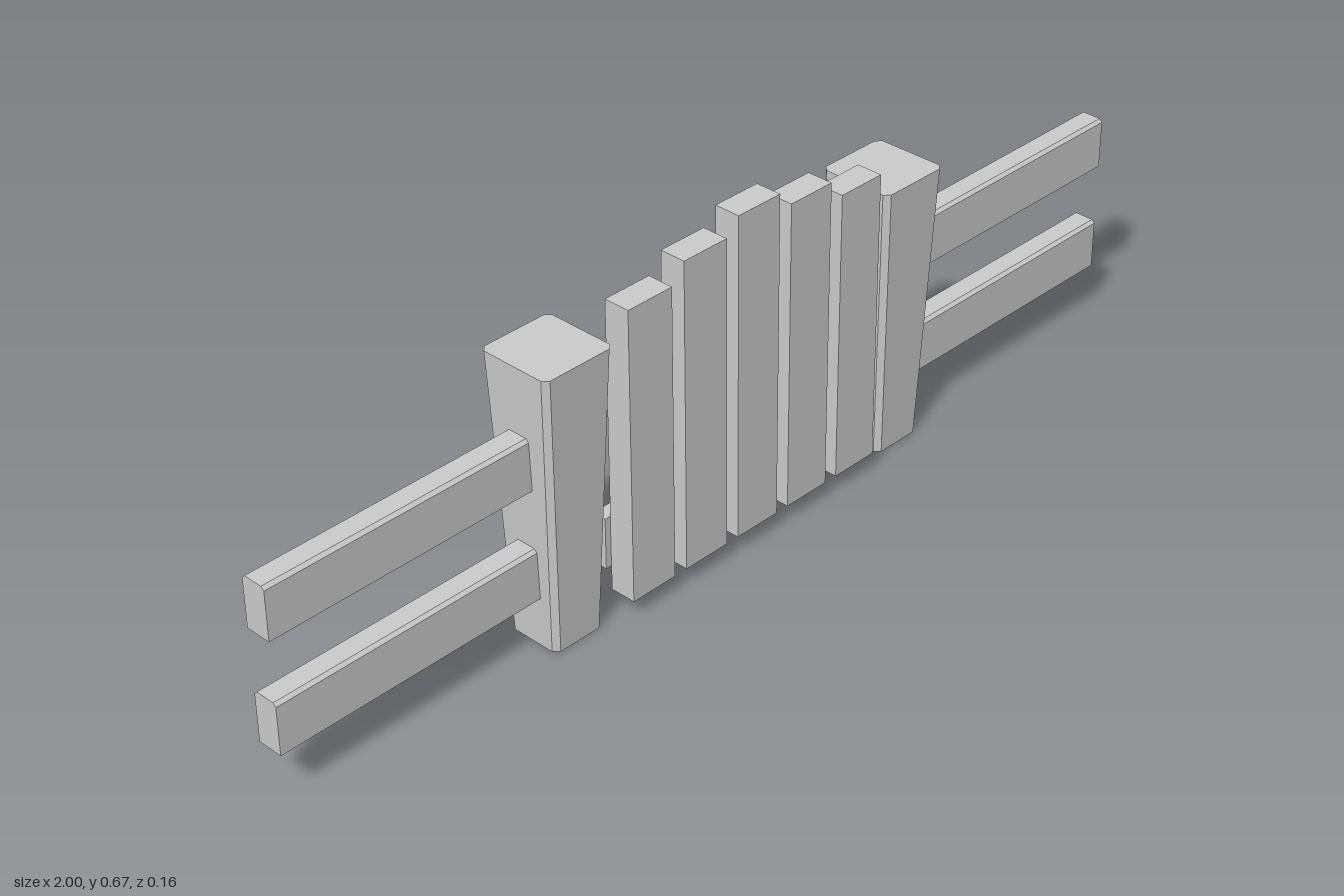
import * as THREE from 'three';

const mat = new THREE.MeshStandardMaterial({ color: 0xcccccc, flatShading: true });
const openMat = new THREE.MeshStandardMaterial({ color: 0xcccccc, flatShading: true, side: THREE.DoubleSide });

function add(group, name, geo, x, y, z, material = mat) {
  const mesh = new THREE.Mesh(geo, material);
  mesh.name = name;
  mesh.position.set(x, y, z);
  group.add(mesh);
  return mesh;
}

// Box given by its limits
function slab(group, name, [x0, x1], [y0, y1], [z0, z1]) {
  add(group, name, new THREE.BoxGeometry(x1 - x0, y1 - y0, z1 - z0),
    (x0 + x1) / 2, (y0 + y1) / 2, (z0 + z1) / 2);
}

// Square of half width h with corners cut by c, counter-clockwise
function cutSquare(h, c) {
  const k = h - c;
  return [[h, -k], [h, k], [k, h], [-k, h], [-h, k], [-h, -k], [-k, -h], [k, -h]];
}

// Post widening upwards, with chamfered edges, a flat top and an open foot
function postGeometry(height, bottom, top, chamfer) {
  const lo = cutSquare(bottom, chamfer), hi = cutSquare(top, chamfer);
  const pos = [];
  const at = ([x, z], y) => [x, y, -z];
  for (let i = 0; i < 8; i++) {
    const j = (i + 1) % 8;
    const a = at(lo[i], 0), b = at(lo[j], 0), c = at(hi[j], height), d = at(hi[i], height);
    pos.push(...a, ...b, ...c, ...a, ...c, ...d);
    pos.push(...d, ...c, 0, height, 0);
  }
  const geo = new THREE.BufferGeometry();
  geo.setAttribute('position', new THREE.Float32BufferAttribute(pos, 3));
  geo.computeVertexNormals();
  return geo;
}

// Rail running along x, with its two upper edges chamfered
function railGeometry(length, height, depth, c) {
  const d = depth / 2;
  const shape = new THREE.Shape([
    [-d, 0], [d, 0], [d, height - c], [d - c, height], [-d + c, height], [-d, height - c],
  ].map(([x, y]) => new THREE.Vector2(x, y)));
  const geo = new THREE.ExtrudeGeometry(shape, { depth: length, bevelEnabled: false });
  return geo.translate(0, 0, -length / 2).rotateY(Math.PI / 2);
}

export function createModel() {
  const model = new THREE.Group();
  model.name = 'fenceWithGate';

  // Posts and the side rails that run out from them
  const post = postGeometry(0.543, 0.054, 0.074, 0.01);
  const rail = railGeometry(0.6, 0.099, 0.05, 0.006);
  for (const [side, s] of [['left', 1], ['right', -1]]) {
    add(model, side + 'Post', post, s * 0.4 - 0.002, 0, -0.002, openMat);
    add(model, side + 'LowerRail', rail, s * 0.7, 0.1, -0.002);
    add(model, side + 'UpperRail', rail, s * 0.7, 0.316, -0.002);
  }

  // Gate: vertical slats stepping up to the middle, on two cross bars
  const gate = new THREE.Group();
  gate.name = 'gate';
  model.add(gate);
  const tops = [0.6, 0.635, 0.665, 0.635, 0.6];
  tops.forEach((top, i) => {
    const x = (i - 2) * 0.1255 - 0.003;
    slab(gate, 'slat' + (i + 1), [x - 0.049, x + 0.049], [0.037, top], [0.028, 0.079]);
  });
  slab(gate, 'lowerCrossBar', [-0.315, 0.31], [0.085, 0.185], [0, 0.028]);
  slab(gate, 'upperCrossBar', [-0.315, 0.31], [0.38, 0.478], [0, 0.028]);

  return model;
}
